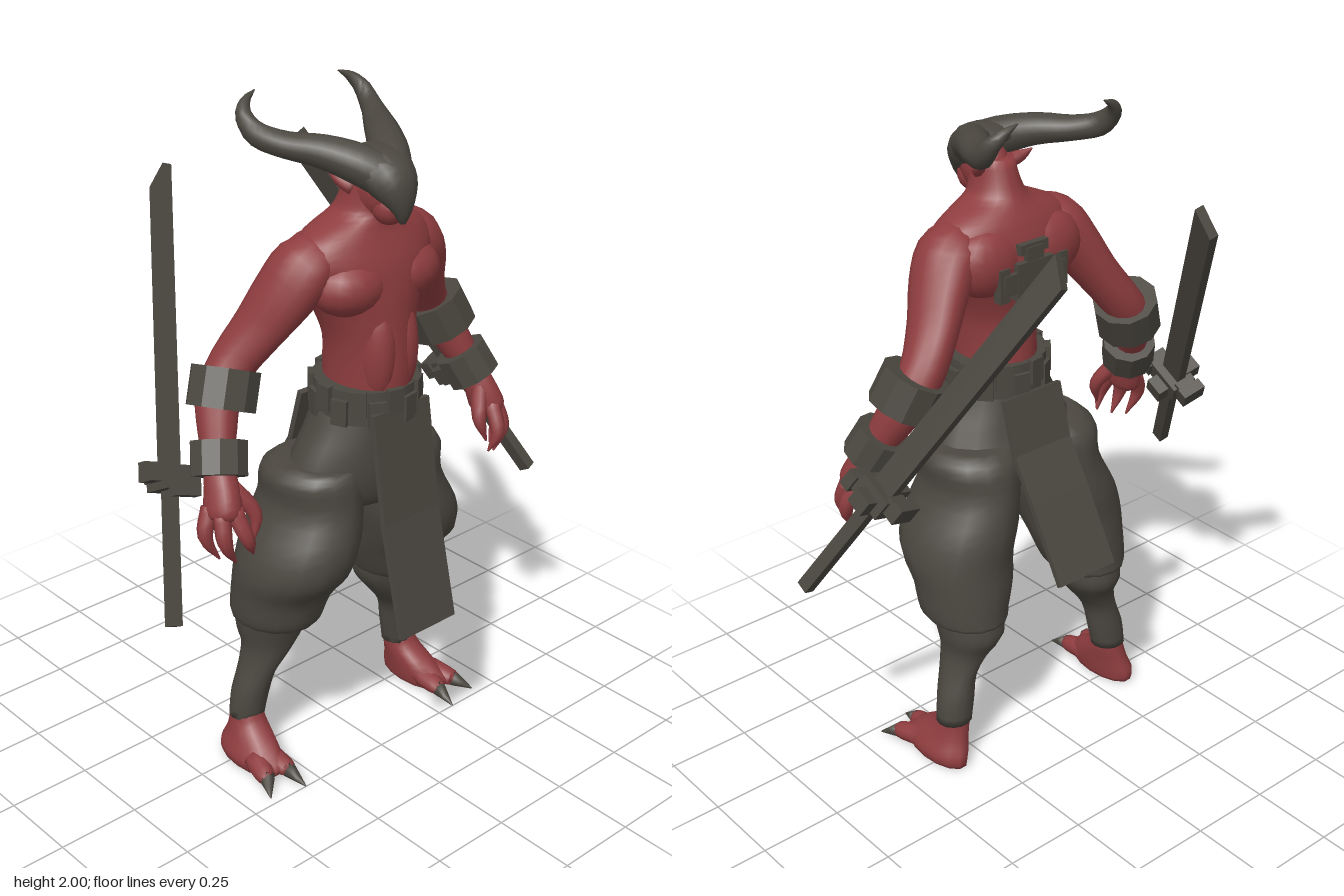
import * as THREE from 'three';

const V3 = (x, y, z) => new THREE.Vector3(x, y, z);

// Closed skin over oval sections [x, y, z, halfWidth, halfDepth].
// Sections lie level when level is true, otherwise square to the path.
function loft(rows, { sides = 14, sub = 3, level = false, ref = V3(0, 0, 1) } = {}) {
  const path = new THREE.CatmullRomCurve3(rows.map(r => V3(r[0], r[1], r[2])), false, 'catmullrom');
  const size = new THREE.CatmullRomCurve3(rows.map(r => V3(r[3], r[4], 0)), false, 'catmullrom');
  const steps = (rows.length - 1) * sub, pos = [], idx = [];
  const rise = Math.sign(rows[rows.length - 1][1] - rows[0][1]);
  for (let i = 0; i <= steps; i++) {
    const c = path.getPoint(i / steps), s = size.getPoint(i / steps);
    const T = level ? V3(0, rise, 0) : path.getTangent(i / steps);
    const U = ref.clone().addScaledVector(T, -ref.dot(T)).normalize();
    const W = T.clone().cross(U);
    for (let j = 0; j < sides; j++) {
      const a = j / sides * Math.PI * 2;
      const p = c.clone().addScaledVector(W, Math.cos(a) * s.x).addScaledVector(U, Math.sin(a) * s.y);
      pos.push(p.x, p.y, p.z);
    }
  }
  for (let i = 0; i < steps; i++) for (let j = 0; j < sides; j++) {
    const a = i * sides + j, b = i * sides + (j + 1) % sides, c = a + sides, d = b + sides;
    idx.push(a, c, b, b, c, d);
  }
  const last = steps * sides;
  for (let j = 1; j < sides - 1; j++) idx.push(0, j, j + 1, last, last + j + 1, last + j);
  const g = new THREE.BufferGeometry();
  g.setAttribute('position', new THREE.Float32BufferAttribute(pos, 3));
  g.setIndex(idx);
  g.computeVertexNormals();
  return g;
}

export function createModel() {
  const red = new THREE.MeshStandardMaterial({ color: 0x8f3d3f });
  red.name = 'redSkin';
  const grey = new THREE.MeshStandardMaterial({ color: 0x4b4740 });
  grey.name = 'darkGrey';
  const model = new THREE.Group();

  const add = (name, geo, mat, parent = model) => {
    const m = new THREE.Mesh(geo, mat);
    m.name = name;
    parent.add(m);
    return m;
  };
  const ball = (name, mat, p, r) => {
    const m = add(name, new THREE.SphereGeometry(1, 18, 12), mat);
    m.position.set(...p);
    m.scale.set(...r);
    return m;
  };
  const box = (name, w, h, d, p, parent = model) => {
    const m = add(name, new THREE.BoxGeometry(w, h, d), grey, parent);
    m.position.set(...p);
    return m;
  };
  const mirror = (rows, s) => rows.map(r => [r[0] * s, ...r.slice(1)]);

  // Torso and neck
  add('torso', loft([
    [0, 1.15, .16, .115, .135], [0, 1.25, .167, .113, .14], [0, 1.35, .168, .122, .135],
    [0, 1.43, .155, .148, .143], [0, 1.5, .143, .185, .15], [0, 1.58, .137, .23, .14],
    [0, 1.64, .135, .215, .118], [0, 1.675, .138, .16, .102], [0, 1.705, .145, .09, .092],
    [0, 1.74, .155, .068, .085], [0, 1.81, .17, .055, .075],
  ], { sides: 22, level: true }), red);
  for (const s of [1, -1]) {
    ball('chestMuscle', red, [s * .095, 1.525, .195], [.12, .085, .095]);
    ball('shoulderBlade', red, [s * .105, 1.55, .06], [.12, .1, .07]);
    ball('stomachMuscle', red, [s * .042, 1.33, .245], [.052, .15, .062]);
  }

  // Head under a pointed mask with swept horns
  ball('head', red, [0, 1.775, .2], [.06, .085, .085]);
  ball('jaw', red, [0, 1.735, .245], [.048, .05, .05]);
  add('mask', loft([
    [0, 1.7, .298, .008, .008], [0, 1.75, .292, .04, .032], [0, 1.795, .265, .07, .06],
    [0, 1.835, .22, .085, .058], [0, 1.86, .165, .075, .035], [0, 1.865, .12, .03, .01],
  ]), grey);
  for (const s of [1, -1]) {
    add('horn', loft(mirror([
      [.01, 1.81, .26, .045, .058], [.055, 1.848, .19, .055, .055], [.11, 1.875, .105, .05, .045],
      [.165, 1.885, .025, .042, .036], [.205, 1.905, -.045, .03, .034], [.213, 1.945, -.09, .024, .025],
      [.19, 1.978, -.113, .014, .015], [.15, 2, -.122, .002, .002],
    ], s), { ref: V3(0, 1, 0), sides: 12 }), grey);
    add('ear', loft(mirror([
      [.05, 1.78, .16, .025, .02], [.075, 1.8, .13, .018, .015], [.09, 1.825, .1, .002, .002],
    ], s), { sides: 8 }), red);
  }

  // Belt with staggered blocks
  const beltRing = add('belt', new THREE.CylinderGeometry(.15, .152, .1, 20), grey);
  beltRing.position.set(0, 1.18, .16);
  for (let i = 0; i < 18; i++) {
    const a = (i + .5) / 18 * Math.PI * 2;
    const b = box('beltBlock', .048, .075, .02,
      [Math.sin(a) * .152, 1.182 + (i % 2 ? .016 : -.016), .16 + Math.cos(a) * .15]);
    b.rotation.y = a;
  }

  // Cloth panels hanging front and back: [y, z] along each panel
  const panel = (name, pts) => {
    for (let i = 0; i < pts.length - 1; i++) {
      const [y0, z0] = pts[i], [y1, z1] = pts[i + 1];
      const m = box(name, .21, Math.hypot(y1 - y0, z1 - z0) + .006, .018, [0, (y0 + y1) / 2, (z0 + z1) / 2]);
      m.rotation.x = Math.atan2(z0 - z1, y0 - y1);
    }
  };
  panel('frontPanel', [[1.17, .3], [.85, .35], [.52, .428]]);
  panel('backPanel', [[1.14, 0], [.98, -.045], [.85, -.125], [.64, -.245]]);

  // Baggy trousers
  add('hips', loft([
    [0, 1.16, .155, .145, .138], [0, 1.09, .15, .178, .142], [0, 1.01, .14, .22, .15],
    [0, .94, .125, .24, .16], [0, .87, .115, .19, .15], [0, .83, .11, .08, .08],
  ], { sides: 18, level: true }), grey);
  for (const s of [1, -1]) {
    add('trouserLeg', loft(mirror([
      [.14, .995, .12, .11, .135], [.15, .955, .105, .138, .165], [.155, .87, .1, .13, .178],
      [.19, .76, .1, .155, .195], [.215, .67, .09, .157, .185], [.222, .59, .055, .145, .158],
      [.235, .505, .038, .126, .148], [.235, .475, .02, .105, .125], [.235, .46, .02, .03, .03],
    ], s), { level: true, sides: 16 }), grey);
    add('shin', loft(mirror([
      [.235, .49, .02, .1, .12], [.236, .43, .005, .093, .112], [.252, .37, .01, .068, .085],
      [.285, .3, .005, .05, .066], [.305, .22, -.005, .057, .058], [.316, .145, -.01, .055, .053],
    ], s), { level: true }), grey);

    // Foot with two clawed toes
    add('foot', loft(mirror([
      [.317, .18, -.01, .045, .045], [.32, .13, 0, .05, .062], [.33, .085, .028, .056, .1],
      [.342, .04, .044, .062, .132], [.342, .01, .038, .056, .122],
    ], s), { level: true }), red);
    [[[.365, .045, .09], [.388, .034, .165], [.422, .008, .225]],
      [[.322, .045, .09], [.316, .036, .175], [.308, .008, .25]]].forEach(([a, b, c]) => {
      add('toe', loft(mirror([[...a, .038, .035], [...b, .028, .026], [b[0], b[1] - .003, b[2] + .015, .01, .01]], s),
        { ref: V3(0, 1, 0), sides: 10 }), red);
      add('toeClaw', loft(mirror([[...b, .026, .026], [...c, .002, .002]], s),
        { ref: V3(0, 1, 0), sides: 8 }), grey);
    });

    // Arm and hand
    add('arm', loft(mirror([
      [.13, 1.61, .135, .06, .07], [.19, 1.58, .125, .082, .098], [.243, 1.51, .1, .074, .098],
      [.3, 1.415, .06, .062, .084], [.365, 1.32, .025, .06, .07], [.42, 1.24, .03, .06, .066],
      [.455, 1.16, .065, .052, .056], [.485, 1.08, .105, .042, .045], [.5, 1.02, .135, .045, .055],
      [.515, .96, .155, .045, .06], [.52, .94, .16, .015, .02],
    ], s)), red);
    [
      [[.48, 1.03, .15], [.437, .955, .195], [.455, .88, .21]],
      [[.5, .98, .185], [.488, .905, .225], [.46, .845, .215]],
      [[.53, .97, .17], [.54, .895, .195], [.505, .825, .195]],
      [[.535, .98, .125], [.565, .905, .14], [.53, .83, .155]],
    ].forEach(([a, b, c]) => add('finger', loft(
      mirror([[...a, .025, .025], [...b, .021, .021], [...c, .003, .003]], s), { sides: 8, sub: 4 }), red));

    // Heavy cuffs at the elbow and wrist
    [['elbowCuff', [.408, 1.26, .037], [.06, -.14, .035], .098, .11],
      ['wristCuff', [.478, 1.095, .098], [.05, -.13, .06], .081, .095]].forEach(([name, p, d, r, h]) => {
      const geo = new THREE.CylinderGeometry(r, r, h, 10).toNonIndexed();
      geo.computeVertexNormals();
      const m = add(name, geo, grey);
      m.position.set(p[0] * s, p[1], p[2]);
      m.quaternion.setFromUnitVectors(V3(0, 1, 0), V3(-d[0] * s, -d[1], -d[2]).normalize());
    });

    // Sword: local y runs from pommel to tip, local x across the flat of the blade
    const sword = new THREE.Group();
    sword.name = 'sword';
    const dir = V3(-.452 * s, 1.045, -.59), L = dir.length();
    dir.normalize();
    const wide = V3(0, .59, 1.045).normalize();
    sword.quaternion.setFromRotationMatrix(
      new THREE.Matrix4().makeBasis(wide, dir, wide.clone().cross(dir)));
    sword.position.set(.7 * s, .69, .165);
    model.add(sword);
    const outline = new THREE.Shape([[-.038, .4], [.038, .4], [.038, L], [-.038, L - .05]]
      .map(p => new THREE.Vector2(...p)));
    const blade = add('blade', new THREE.ExtrudeGeometry(outline, { depth: .028, bevelEnabled: false }), grey, sword);
    blade.position.z = -.014;
    box('hilt', .04, .42, .032, [0, .21, 0], sword);
    // Guard: a chunky cross whose arms step up and down
    box('guardCore', .11, .065, .08, [0, .4, 0], sword);
    for (const e of [1, -1]) {
      box('guardArm', .05, .05, .055, [e * .065, .4 - e * .02, 0], sword);
      box('guardEnd', .035, .055, .075, [e * .085, .4 - e * .03, 0], sword);
      box('guardSide', .06, .05, .05, [0, .4 + e * .015, e * .05], sword);
    }
  }

  // Blocky ornament on the back
  const ornament = new THREE.Group();
  ornament.name = 'backOrnament';
  ornament.position.set(0, 1.5, -.004);
  model.add(ornament);
  box('ornamentCore', .13, .11, .035, [0, 0, 0], ornament);
  for (const e of [1, -1]) {
    box('ornamentArm', .05, .06, .035, [e * .085, 0, .002], ornament);
    box('ornamentEnd', .035, .1, .03, [e * .105, 0, .004], ornament);
    box('ornamentArm', .06, .05, .035, [0, e * .07, .002], ornament);
    box('ornamentEnd', .1, .03, .03, [0, e * .09, .004], ornament);
  }
  return model;
}
